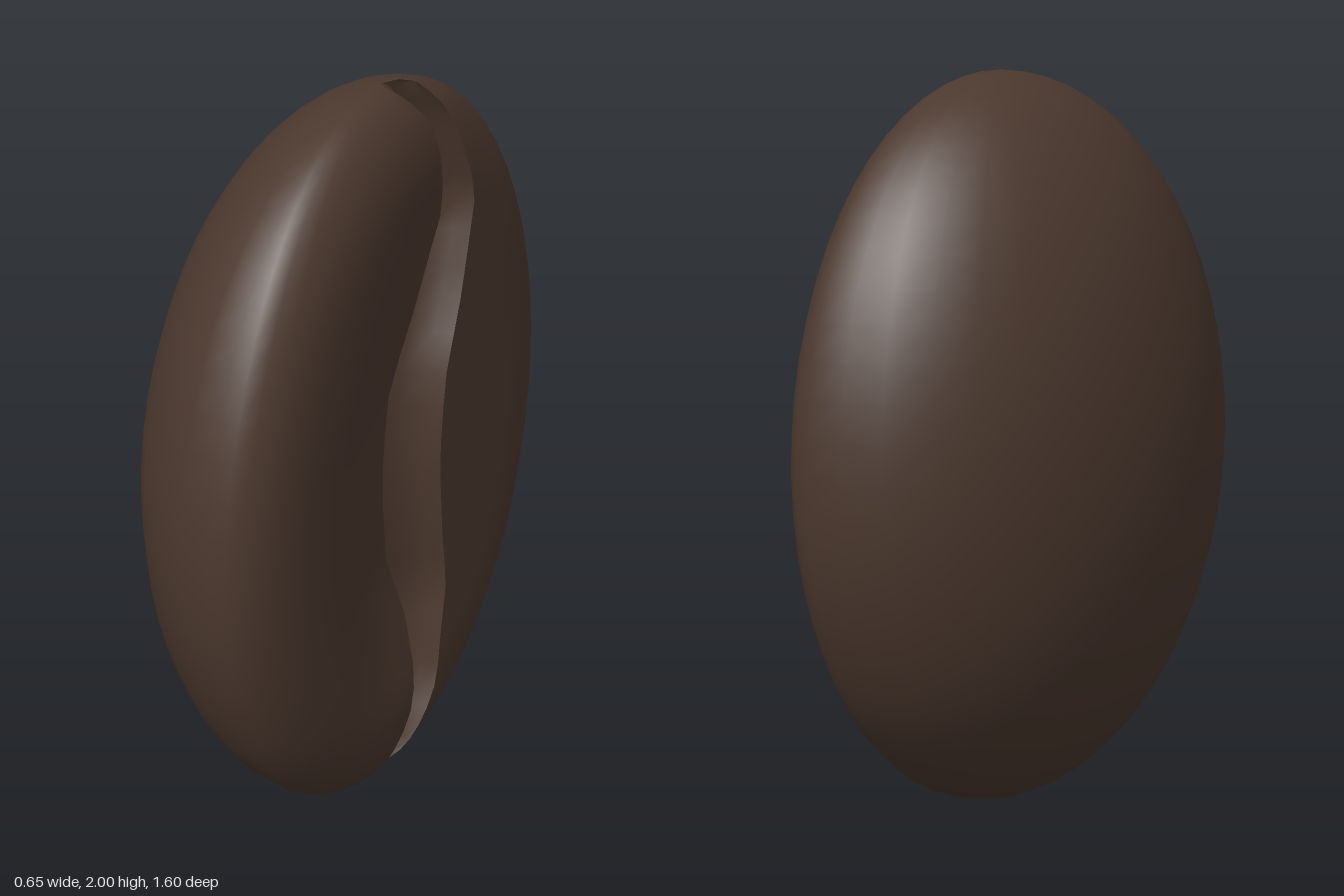
import * as THREE from 'three';
import { toCreasedNormals } from 'three/addons/utils/BufferGeometryUtils.js';

const RIM_X = 0.19, FACE = 0.135, DOME = 0.515, HALF_WIDTH = 0.8;
const ROWS = 32, FACE_COLS = 10, DOME_COLS = 16;

// Crease path: [y, z of left lip, z of right lip]
const CREASE = [
  [0, 0.11, 0.0], [0.05, 0.1, -0.04], [0.25, 0.01, -0.13], [0.35, 0, -0.14], [0.55, 0.01, -0.17],
  [0.7, 0.07, -0.14], [0.95, 0.1, -0.11], [1.18, 0.08, -0.13], [1.4, -0.05, -0.21],
  [1.65, -0.13, -0.27], [1.9, -0.07, -0.18], [2, 0.02, -0.1],
];

// Crease section from left lip to right lip: [fraction across, fraction of depth]
const SECTION = [[0, 0], [0.15, 0.65], [0.38, 1], [0.68, 0.8], [0.94, 0.4], [1, 0]];

const { lerp, clamp, smoothstep } = THREE.MathUtils;

function creaseAt(y) {
  let i = 0;
  while (i < CREASE.length - 2 && y > CREASE[i + 1][0]) i++;
  const [a, b] = [CREASE[i], CREASE[i + 1]];
  const k = clamp((y - a[0]) / (b[0] - a[0]), 0, 1);
  return [lerp(a[1], b[1], k), lerp(a[2], b[2], k)];
}

// Height of the rounded flat face above the rim plane
function faceHeight(y, z) {
  const r = Math.min(1, Math.hypot(z / HALF_WIDTH, y - 1));
  const e = Math.max(0, (r - 0.74) / 0.26);
  return FACE * Math.sqrt(Math.max(0, 1 - e * e));
}

// One closed cross-section at angle t from the bottom tip to the top tip
function ring(t) {
  const y = 1 - Math.cos(t), w = HALF_WIDTH * Math.sin(t);
  const [left, right] = creaseAt(y).map((z) => clamp(z, -0.85 * w, 0.85 * w));
  const points = [];
  // The left lobe sinks gently towards the crease
  const sink = 0.06 * smoothstep(y, 0.25, 0.75) * (1 - smoothstep(y, 1.25, 1.95));
  const dip = (z) => sink * (1 - smoothstep(z, left, left + 0.38));
  for (let j = 0; j < FACE_COLS; j++) {
    const z = lerp(left, w, Math.cos((j / FACE_COLS) * Math.PI / 2));
    points.push([RIM_X + faceHeight(y, z) - dip(z), y, z]);
  }
  // Crease
  for (const [across, depth] of SECTION) {
    const z = lerp(left, right, across);
    const top = faceHeight(y, z) - sink * (1 - across);
    points.push([RIM_X + top * (1 - 0.9 * depth), y, z]);
  }
  // Right lobe
  for (let j = 1; j < FACE_COLS; j++) {
    const z = lerp(right, -w, Math.sin((j / FACE_COLS) * Math.PI / 2));
    points.push([RIM_X + faceHeight(y, z), y, z]);
  }
  // Domed back
  for (let j = 0; j < DOME_COLS; j++) {
    const p = (j / DOME_COLS) * Math.PI;
    points.push([RIM_X - DOME * Math.sin(t) * Math.sin(p), y, -w * Math.cos(p)]);
  }
  return points;
}

function beanGeometry() {
  const positions = [], indices = [];
  // Tips
  positions.push(RIM_X, 0, 0, RIM_X, 2, 0);
  let n = 0;
  for (let i = 1; i < ROWS; i++) {
    const points = ring((i / ROWS) * Math.PI);
    n = points.length;
    positions.push(...points.flat());
  }
  const at = (row, col) => 2 + row * n + (col % n);
  for (let j = 0; j < n; j++) {
    indices.push(0, at(0, j + 1), at(0, j));
    indices.push(1, at(ROWS - 2, j), at(ROWS - 2, j + 1));
    for (let i = 0; i < ROWS - 2; i++) {
      const a = at(i, j), b = at(i, j + 1), c = at(i + 1, j + 1), d = at(i + 1, j);
      indices.push(a, b, c, a, c, d);
    }
  }
  const geometry = new THREE.BufferGeometry();
  geometry.setAttribute('position', new THREE.Float32BufferAttribute(positions, 3));
  geometry.setIndex(indices);
  return toCreasedNormals(geometry, 0.75);
}

export function createModel() {
  const roast = new THREE.MeshStandardMaterial({ color: 0x4b382e });
  roast.name = 'dark roast brown';
  const bean = new THREE.Mesh(beanGeometry(), roast);
  bean.name = 'bean';
  const model = new THREE.Group();
  model.name = 'coffeeBean';
  model.add(bean);
  return model;
}
